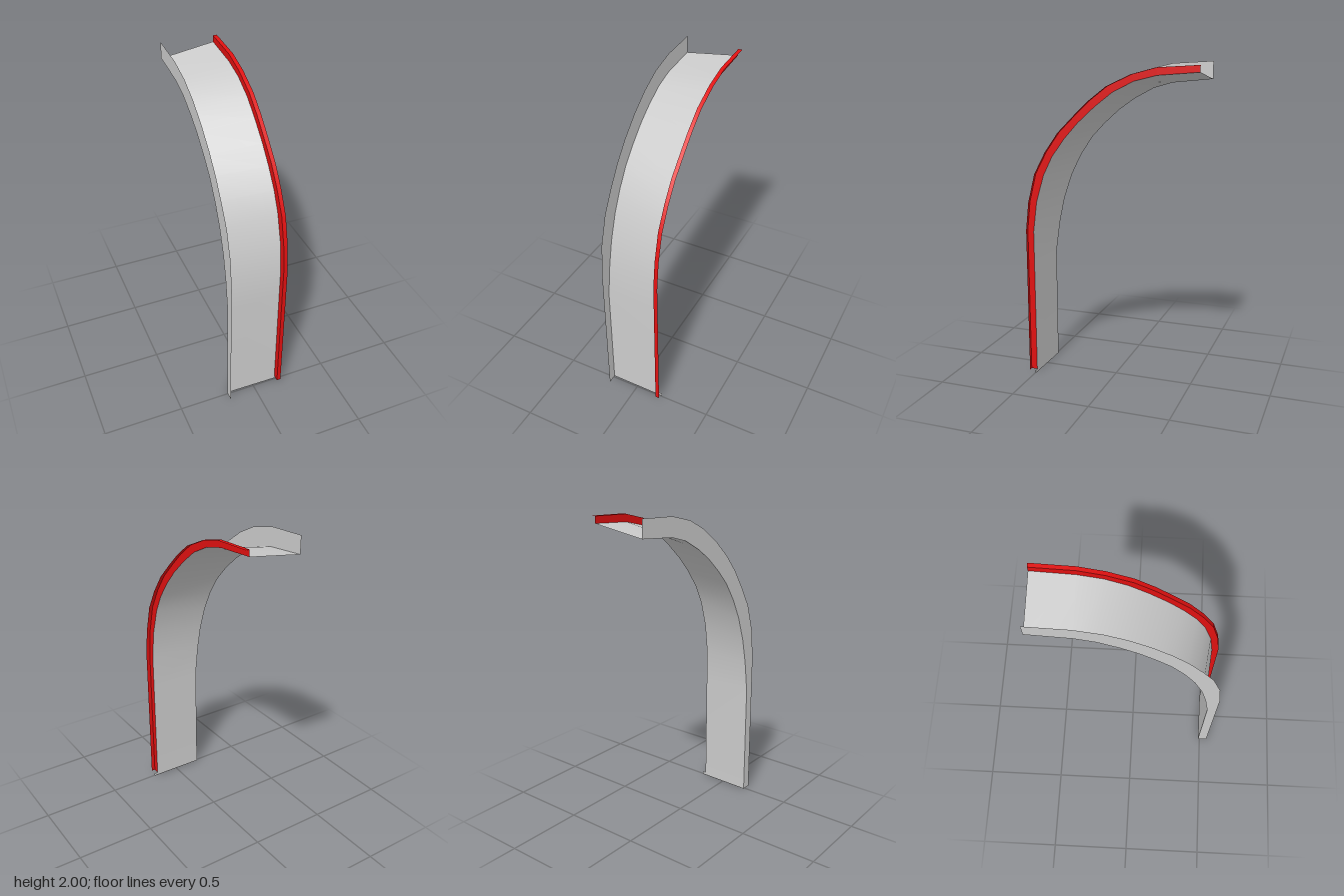
import * as THREE from 'three';

const XL = -0.18, XR = 0.155, XOUT = 0.18;

// Each rail is a list of [z, y] points, running from the foot to the back tip.
const panelLow = [[0.49, 0], [0.49, 0.74], [0.46, 0.95], [0.425, 1.11], [0.37, 1.27], [0.305, 1.4], [0.225, 1.52],
  [0.14, 1.61], [0.04, 1.7], [-0.06, 1.77], [-0.18, 1.835], [-0.3, 1.87], [-0.55, 1.895]];
const panelHigh = [[0.495, 0], [0.495, 0.74], [0.495, 0.95], [0.47, 1.14], [0.42, 1.31], [0.36, 1.43], [0.28, 1.54],
  [0.19, 1.64], [0.08, 1.74], [-0.03, 1.825], [-0.16, 1.89], [-0.3, 1.925], [-0.55, 1.945]];
const flangeRim = [[0.55, 0], [0.55, 0.74], [0.55, 0.95], [0.53, 1.15], [0.475, 1.33], [0.4, 1.46], [0.32, 1.58],
  [0.225, 1.69], [0.11, 1.795], [-0.01, 1.88], [-0.14, 1.945], [-0.3, 1.985], [-0.55, 2.0]];
const trimRim = [[0.535, 0.02], [0.535, 0.74], [0.535, 0.96], [0.515, 1.14], [0.47, 1.32], [0.395, 1.46], [0.31, 1.58],
  [0.2, 1.69], [0.11, 1.775], [0, 1.86], [-0.15, 1.93], [-0.3, 1.97], [-0.55, 1.985]];

// Thin sheet spanning rail a (at x = xa) and rail b (at x = xb)
function sheet(name, a, xa, b, xb, material) {
  const pos = [], index = [];
  a.forEach(([z, y], i) => {
    pos.push(xa, y, z, xb, b[i][1], b[i][0]);
    if (i) {
      const k = 2 * i;
      index.push(k - 2, k - 1, k, k - 1, k + 1, k);
    }
  });
  const g = new THREE.BufferGeometry();
  g.setAttribute('position', new THREE.Float32BufferAttribute(pos, 3));
  g.setIndex(index);
  g.computeVertexNormals();
  // Face outward: front on the post, upward on the arch, or toward +x for side walls
  const mesh = new THREE.Mesh(g, material);
  mesh.name = name;
  return mesh;
}

export function createModel() {
  const model = new THREE.Group();
  model.name = 'curvedChannel';
  const grey = new THREE.MeshStandardMaterial({ color: 0xcccccc, side: THREE.DoubleSide });
  const red = new THREE.MeshStandardMaterial({ color: 0xe01010, side: THREE.DoubleSide });

  // Main curved panel, tilted across its width, with a side flange
  model.add(sheet('panel', panelLow, XL, panelHigh, XR, grey));
  model.add(sheet('sideFlange', panelLow, XL, flangeRim, XL, grey));

  // Angle trim on the other edge: a wall standing on the panel and a lip turned outward
  const trim = new THREE.Group();
  trim.name = 'edgeTrim';
  const wallFoot = panelHigh.map(([z, y]) => [z, Math.max(y, 0.02)]);
  trim.add(sheet('trimWall', wallFoot, XR, trimRim, XR, red));
  trim.add(sheet('trimLip', trimRim, XR, trimRim, XOUT, red));
  model.add(trim);

  // Small tab beside the foot of the panel
  const tab = [[0.495, 0], [0.495, 0.02]];
  model.add(sheet('footTab', tab, XR, tab, XOUT, grey));
  return model;
}
